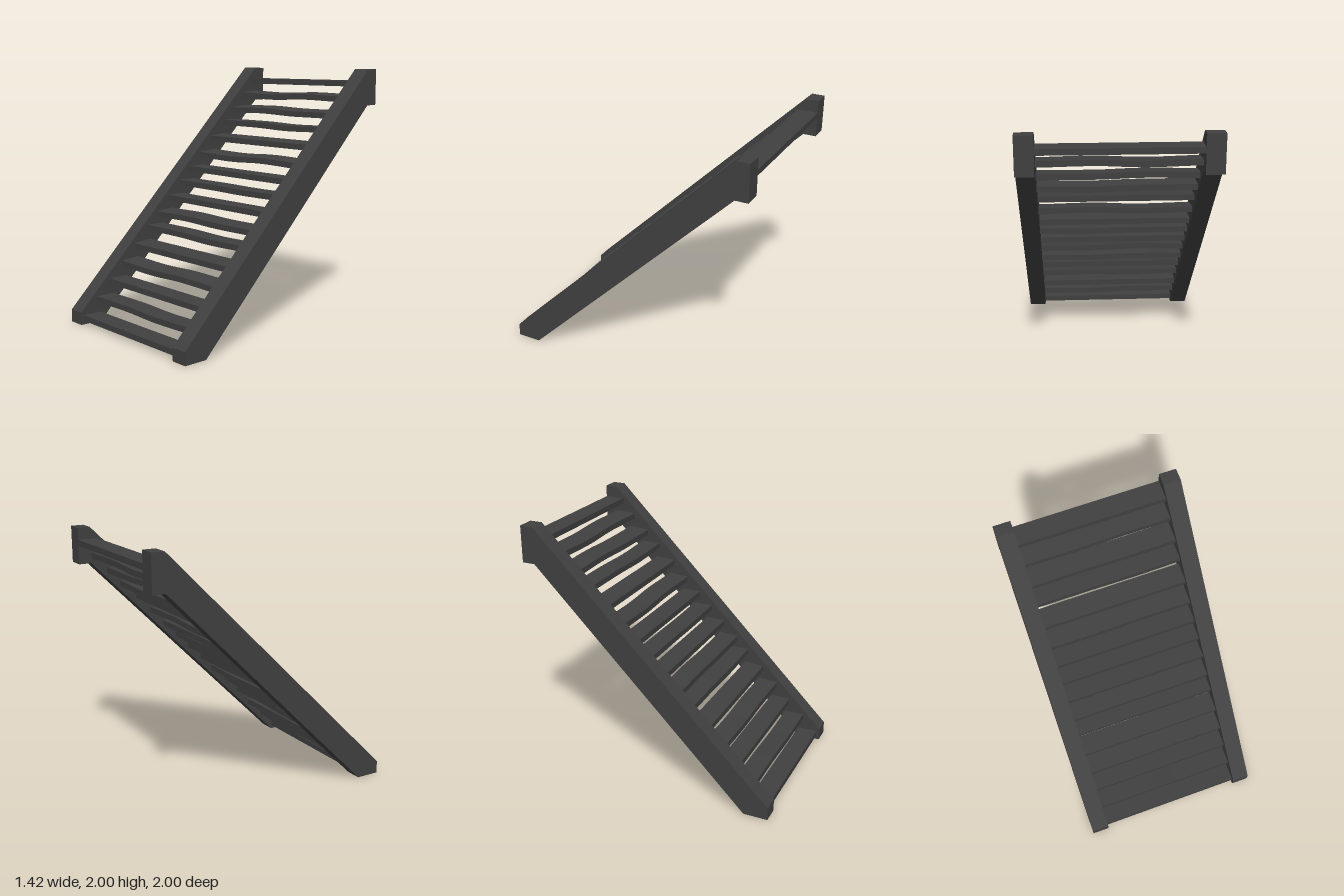
import * as THREE from 'three';

const material = new THREE.MeshStandardMaterial({ color: 0x404040, flatShading: true });

// Sloping side beam with a foot at the bottom and a short post at the top
function makeStringer(name, x) {
  const width = 0.135;
  const profile = [[1, 0], [1, 0.1], [-0.9, 2], [-1, 2], [-1, 1.715], [-0.9, 1.715], [0.81, 0]];
  const shape = new THREE.Shape(profile.map(([z, y]) => new THREE.Vector2(-z, y)));
  const geometry = new THREE.ExtrudeGeometry(shape, { depth: width, bevelEnabled: false });
  geometry.translate(0, 0, -width / 2).rotateY(Math.PI / 2);
  const mesh = new THREE.Mesh(geometry, material);
  mesh.name = name;
  mesh.position.x = x;
  return mesh;
}

// Worn plank: warped by a bump on each half and raised a little at the back
function makeTread(index, y, front, bumpL, bumpR, tilt) {
  const depth = 0.16, width = 1.15;
  const geometry = new THREE.BoxGeometry(width, 0.045, depth, 12, 1, 1);
  const p = geometry.attributes.position;
  const bump = (x, c) => Math.pow(Math.cos(Math.min(Math.abs(x - c) / 0.38, 1) * Math.PI / 2), 2);
  for (let i = 0; i < p.count; i++) {
    const x = p.getX(i);
    const warp = 0.01 * (bumpL * bump(x, -0.2) + bumpR * bump(x, 0.2));
    p.setY(i, p.getY(i) + warp - tilt * p.getZ(i) / depth);
  }
  geometry.computeVertexNormals();
  const mesh = new THREE.Mesh(geometry, material);
  mesh.name = `tread${index + 1}`;
  mesh.position.set(0, y, front - depth / 2);
  return mesh;
}

export function createModel() {
  const group = new THREE.Group();
  group.name = 'staircase';
  group.add(makeStringer('leftStringer', 0.6425), makeStringer('rightStringer', -0.6425));

  // Each tread: height, front edge, left bump, right bump, tilt
  const treads = [
    [0.052, 0.975, 0, 0, 0], [0.185, 0.85, 0.4, -0.7, 0],
    [0.31, 0.72, 0, 0, 0], [0.445, 0.6, -0.7, 0.5, 0.015],
    [0.572, 0.47, 0, 0, 0.015], [0.7, 0.33, 0.2, -0.7, 0],
    [0.81, 0.23, 0.8, -0.2, 0.012], [0.93, 0.11, 0, 0, 0],
    [1.046, -0.01, 0, -0.4, 0], [1.155, -0.12, 0, 0, 0],
    [1.275, -0.24, -0.7, 0.7, 0.015], [1.407, -0.36, 0, 0, 0.012],
    [1.532, -0.5, 0, -0.9, 0], [1.644, -0.61, 0.8, -0.2, 0.015],
    [1.77, -0.735, -0.8, 0.6, 0.012], [1.885, -0.84, 0, 0, 0],
  ];
  treads.forEach((t, i) => group.add(makeTread(i, ...t)));
  return group;
}
